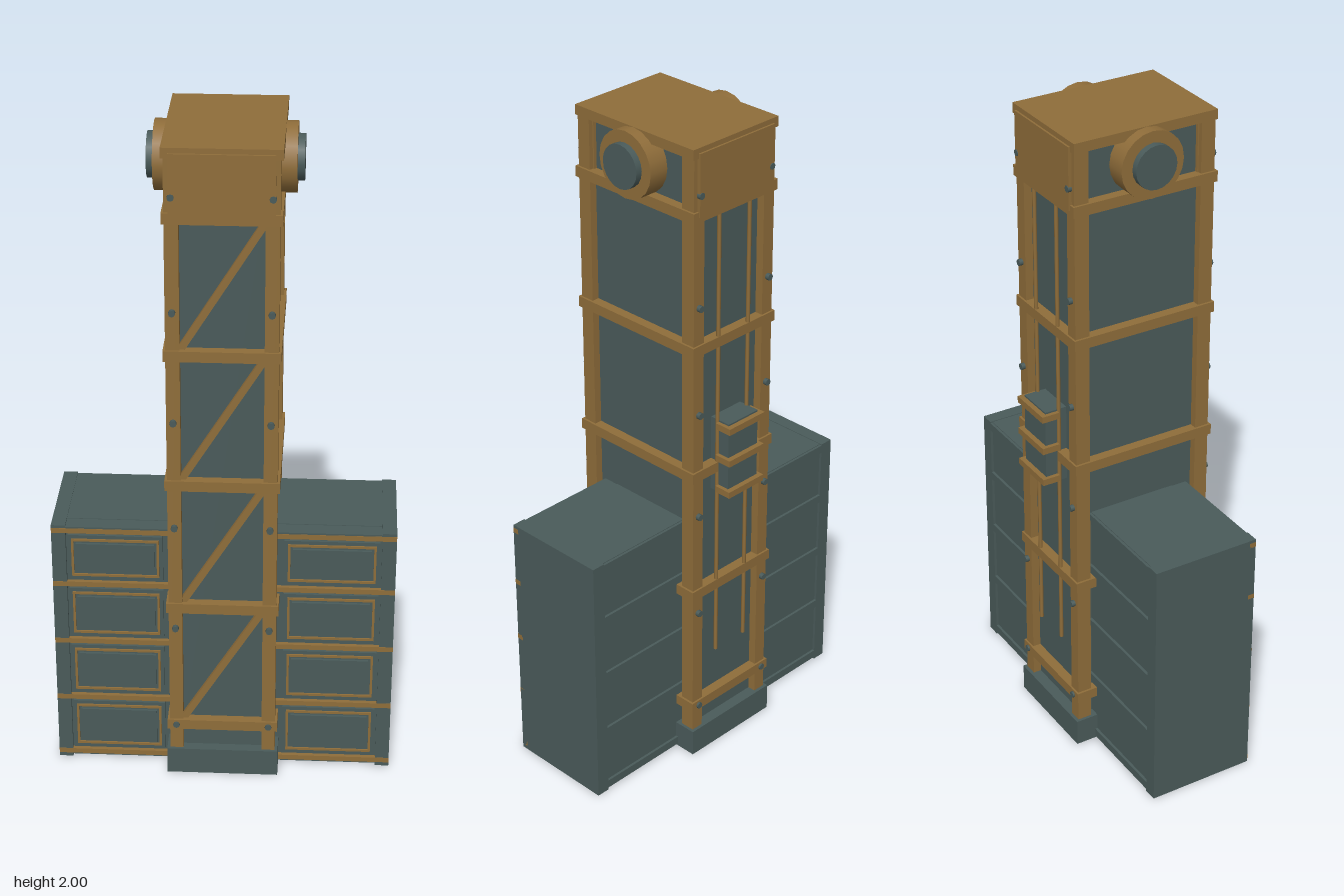
import * as THREE from 'three';

const steel = new THREE.MeshStandardMaterial({ color: 0x4a5b5a });
steel.name = 'slate steel';
const bronze = new THREE.MeshStandardMaterial({ color: 0x8f6d3a });
bronze.name = 'bronze';

export function createModel() {
  const model = new THREE.Group();
  model.name = 'liftTowerWithCabinets';

  const add = (name, geometry, material, parent = model) => {
    const mesh = new THREE.Mesh(geometry, material);
    mesh.name = name;
    parent.add(mesh);
    return mesh;
  };
  // Box given by its two extents on each axis
  const box = (name, material, [x0, x1], [y0, y1], [z0, z1], parent) => {
    const mesh = add(name, new THREE.BoxGeometry(x1 - x0, y1 - y0, z1 - z0), material, parent);
    mesh.position.set((x0 + x1) / 2, (y0 + y1) / 2, (z0 + z1) / 2);
    return mesh;
  };
  // Same box on the left or right side
  const sideBox = (name, material, s, [x0, x1], y, z, parent) =>
    box(name, material, s > 0 ? [x0, x1] : [-x1, -x0], y, z, parent);
  // Rectangular frame facing z
  const frame = (name, material, s, [x0, x1], [y0, y1], z, w, parent) => {
    sideBox(name, material, s, [x0, x0 + w], [y0, y1], z, parent);
    sideBox(name, material, s, [x1 - w, x1], [y0, y1], z, parent);
    sideBox(name, material, s, [x0 + w, x1 - w], [y0, y0 + w], z, parent);
    sideBox(name, material, s, [x0 + w, x1 - w], [y1 - w, y1], z, parent);
  };

  // Tower core, plinth and cap
  const tower = new THREE.Group();
  tower.name = 'tower';
  model.add(tower);
  box('shaft', steel, [-0.135, 0.135], [0.05, 1.975], [-0.175, 0.225], tower);
  box('plinth', steel, [-0.167, 0.167], [0, 0.085], [-0.21, 0.257], tower);
  box('cap', bronze, [-0.165, 0.165], [1.97, 2], [-0.204, 0.25], tower);

  // Corner posts
  for (const s of [-1, 1]) {
    sideBox('cornerPost', bronze, s, [0.118, 0.158], [0.08, 1.975], [0.204, 0.248], tower);
    sideBox('cornerPost', bronze, s, [0.118, 0.158], [0.08, 1.975], [-0.2, -0.155], tower);
  }

  // Horizontal bands around the tower
  const levels = [0.172, 0.579, 0.986, 1.393, 1.8];
  for (const y of levels) {
    const h = [y - 0.016, y + 0.016];
    box('frontBand', bronze, [-0.165, 0.165], h, [0.212, 0.255], tower);
    box('backBand', bronze, [-0.165, 0.165], h, [-0.206, -0.163], tower);
    for (const s of [-1, 1])
      sideBox('sideBand', bronze, s, [0.122, 0.165], h, [-0.163, 0.212], tower);
  }

  // Diagonal braces on the front
  for (let i = 0; i < 4; i++) {
    const rise = levels[i + 1] - levels[i] - 0.03, run = 0.232;
    const brace = add('diagonalBrace',
      new THREE.BoxGeometry(0.02, Math.hypot(rise, run), 0.018), bronze, tower);
    brace.position.set(0, (levels[i] + levels[i + 1]) / 2, 0.232);
    brace.rotation.z = -Math.atan2(run, rise);
  }

  // Bolts on front and back of the posts
  const boltGeometry = new THREE.CylinderGeometry(0.01, 0.01, 0.02, 8);
  for (let i = 0; i < 6; i++)
    for (const x of [-0.138, 0.138])
      for (const z of [0.25, -0.202]) {
        const bolt = add('bolt', boltGeometry, steel, tower);
        bolt.rotation.x = Math.PI / 2;
        bolt.position.set(x, 0.172 + i * 0.338, z);
      }

  // Head covers and winch drums
  const head = new THREE.Group();
  head.name = 'winchHead';
  model.add(head);
  box('headCoverFront', bronze, [-0.145, 0.145], [1.8, 1.985], [0.2, 0.257], head);
  box('headCoverBack', bronze, [-0.145, 0.145], [1.8, 1.985], [-0.21, -0.15], head);
  const drum = (name, material, s, r, x0, x1, sides) => {
    const geometry = new THREE.CylinderGeometry(r, r, x1 - x0, sides);
    const mesh = add(name, geometry, material, head);
    mesh.rotation.z = Math.PI / 2;
    mesh.position.set(s * (x0 + x1) / 2, 1.9, 0.022);
  };
  for (const s of [-1, 1]) {
    drum('drumHousing', bronze, s, 0.099, 0.12, 0.198, 20);
    drum('drumHub', steel, s, 0.065, 0.15, 0.218, 20);
  }

  // Guide rods and carriage on the back
  const lift = new THREE.Group();
  lift.name = 'backLift';
  model.add(lift);
  for (const x of [-0.06, 0.06]) {
    const rod = add('guideRod', new THREE.CylinderGeometry(0.006, 0.006, 1.48, 8), bronze, lift);
    rod.position.set(x, 1.08, -0.2);
  }
  box('carriage', steel, [-0.06, 0.06], [0.9, 1.14], [-0.244, -0.17], lift);
  for (const y of [0.915, 1.02, 1.125])
    box('carriageBand', bronze, [-0.072, 0.072], [y - 0.01, y + 0.01], [-0.26, -0.205], lift);

  // Cabinets on both sides
  const rails = [0.02, 0.218, 0.418, 0.615, 0.795];
  for (const s of [-1, 1]) {
    const cabinet = new THREE.Group();
    cabinet.name = s > 0 ? 'leftCabinet' : 'rightCabinet';
    model.add(cabinet);
    sideBox('cabinetBody', steel, s, [0, 0.463], [0, 0.81], [-0.138, 0.14], cabinet);
    sideBox('outerWall', steel, s, [0.463, 0.505], [0, 0.812], [-0.146, 0.19], cabinet);
    sideBox('drawerBacking', steel, s, [0.13, 0.463], [0, 0.8], [0.14, 0.178], cabinet);

    for (const y of rails) {
      sideBox('frontRail', bronze, s, [0.13, 0.505], [y - 0.008, y + 0.008], [0.17, 0.191], cabinet);
      sideBox('backRail', steel, s, [0.13, 0.463], [y - 0.013, y + 0.013], [-0.146, -0.138], cabinet);
    }
    sideBox('topLip', steel, s, [0.13, 0.463], [0.8, 0.808], [0.14, 0.19], cabinet);

    // Drawers with bronze trim
    for (let i = 0; i < 4; i++) {
      const y0 = rails[i] + 0.018, y1 = rails[i + 1] - 0.016;
      sideBox('drawerFront', steel, s, [0.178, 0.457], [y0, y1], [0.17, 0.187], cabinet);
      frame('drawerTrim', bronze, s, [0.189, 0.447], [y0 + 0.011, y1 - 0.011], [0.183, 0.192], 0.007, cabinet);
      sideBox('drawerPanel', steel, s, [0.203, 0.433], [y0 + 0.025, y1 - 0.025], [0.18, 0.195], cabinet);
    }
  }

  return model;
}
